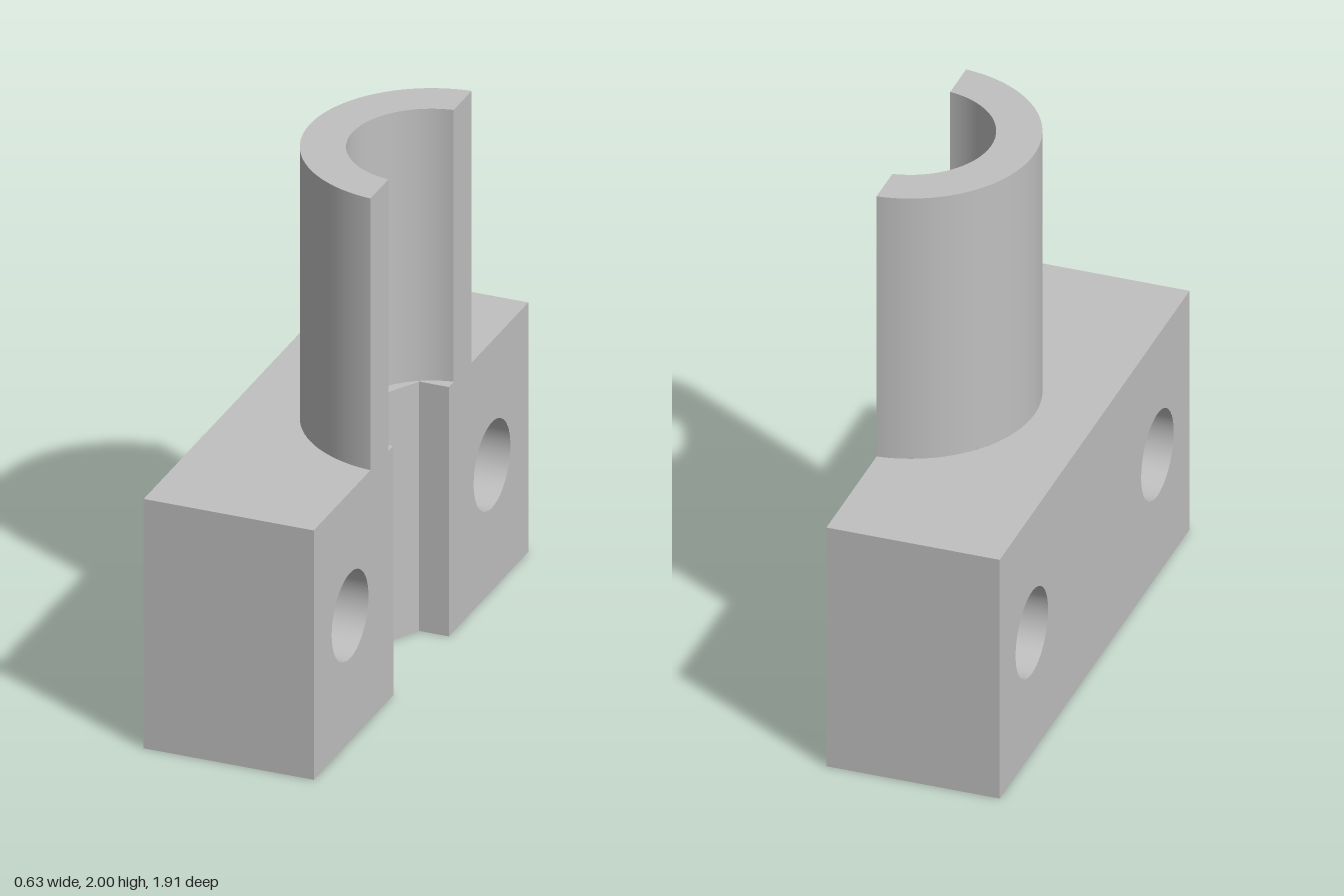
import * as THREE from 'three';

const W = 0.317, D = 0.957, H = 0.957, TOP = 2; // block half width, half depth, height; sleeve top
const CX = 0.356, R_OUT = 0.453, R_IN = 0.294;  // sleeve axis and radii
const HOLE_Z = 0.633, HOLE_Y = 0.482, HOLE_R = 0.164;
const NZ = 0.247;                               // half width of the hexagonal notch
const NOTCH = [[W, NZ], [0.207, NZ], [0.066, 0], [0.207, -NZ], [W, -NZ]];
const SEG = 48;

// half angle of a sleeve arc, and its z where it meets the cut plane
const half = r => Math.acos((CX - W) / r);
const cutZ = r => r * Math.sin(half(r));

const polygon = pts => new THREE.Shape(pts.map(p => new THREE.Vector2(...p)));
const rect = (a, b, c, d) => polygon([[a, c], [b, c], [b, d], [a, d]]);
const drill = (shape, ...centres) => {
  for (const z of centres) shape.holes.push(new THREE.Path().absarc(z, HOLE_Y, HOLE_R, 0, Math.PI * 2, true));
  return shape;
};

export function createModel() {
  const model = new THREE.Group();
  const block = new THREE.Group();
  const sleeve = new THREE.Group();
  block.name = 'clampBlock';
  sleeve.name = 'halfSleeve';
  model.add(block, sleeve);

  const grey = new THREE.MeshStandardMaterial({ color: 0xc0c0c0 });
  grey.name = 'light grey';

  const add = (group, name, geometry) => {
    const mesh = new THREE.Mesh(geometry, grey);
    mesh.name = name;
    group.add(mesh);
  };
  // horizontal face drawn in plan, facing up or down
  const flat = (group, name, shape, y, dir = 1) =>
    add(group, name, new THREE.ShapeGeometry(shape, SEG).rotateX(-dir * Math.PI / 2).translate(0, y, 0));
  // vertical face drawn in z and y, facing +x or -x
  const side = (group, name, shape, dir = 1) =>
    add(group, name, new THREE.ShapeGeometry(shape, SEG).rotateY(dir * Math.PI / 2).translate(dir * W, 0, 0));
  // vertical wall of the block between two plan points
  const wall = (name, [x1, z1], [x2, z2]) =>
    add(block, name, new THREE.PlaneGeometry(Math.hypot(x2 - x1, z2 - z1), H)
      .rotateY(Math.atan2(z1 - z2, x2 - x1)).translate((x1 + x2) / 2, H / 2, (z1 + z2) / 2));
  // round wall; falling heights make it face inward
  const round = (r, y1, y2, start = 0, length = Math.PI * 2) =>
    new THREE.LatheGeometry([new THREE.Vector2(r, y1), new THREE.Vector2(r, y2)], SEG, start, length);

  // Block: ends, notch walls, drilled faces and underside
  wall('frontEnd', [-W, D], [W, D]);
  wall('backEnd', [W, -D], [-W, -D]);
  for (let i = 0; i < 4; i++) wall('notchWall', NOTCH[i], NOTCH[i + 1]);
  side(block, 'outerFace', drill(rect(-D, D, 0, H), -HOLE_Z, HOLE_Z), -1);
  side(block, 'matingFace', drill(rect(NZ, D, 0, H), HOLE_Z));
  side(block, 'matingFace', drill(rect(-D, -NZ, 0, H), -HOLE_Z));
  flat(block, 'underside', polygon([...NOTCH, [W, -D], [-W, -D], [-W, D], [W, D]]), 0, -1);

  // Bolt holes
  for (const z of [-HOLE_Z, HOLE_Z])
    add(block, 'boltHole', round(HOLE_R, W, -W).rotateZ(Math.PI / 2).translate(0, HOLE_Y, z));

  // Block top around the sleeve, and the ledge inside its bore
  const a = half(R_OUT), b = half(R_IN);
  const deck = new THREE.Shape();
  deck.moveTo(-W, -D);
  deck.lineTo(W, -D);
  deck.lineTo(W, -cutZ(R_OUT));
  deck.absarc(CX, 0, R_OUT, Math.PI + a, Math.PI - a, true);
  deck.lineTo(W, D);
  deck.lineTo(-W, D);
  flat(block, 'blockTop', deck, H);

  const ledge = new THREE.Shape();
  ledge.absarc(CX, 0, R_IN, Math.PI - b, Math.PI + b, false);
  for (const p of [...NOTCH].reverse()) ledge.lineTo(...p);
  flat(block, 'boreLedge', ledge, H);

  // Half sleeve: outside, bore, rim and cut faces
  add(sleeve, 'sleeveOutside', round(R_OUT, H, TOP, Math.PI * 1.5 - a, 2 * a).translate(CX, 0, 0));
  add(sleeve, 'sleeveBore', round(R_IN, TOP, H, Math.PI * 1.5 - b, 2 * b).translate(CX, 0, 0));
  const rim = new THREE.Shape();
  rim.absarc(CX, 0, R_OUT, Math.PI - a, Math.PI + a, false);
  rim.absarc(CX, 0, R_IN, Math.PI + b, Math.PI - b, true);
  flat(sleeve, 'sleeveRim', rim, TOP);
  side(sleeve, 'sleeveCutFace', rect(cutZ(R_IN), cutZ(R_OUT), H, TOP));
  side(sleeve, 'sleeveCutFace', rect(-cutZ(R_OUT), -cutZ(R_IN), H, TOP));

  return model;
}
